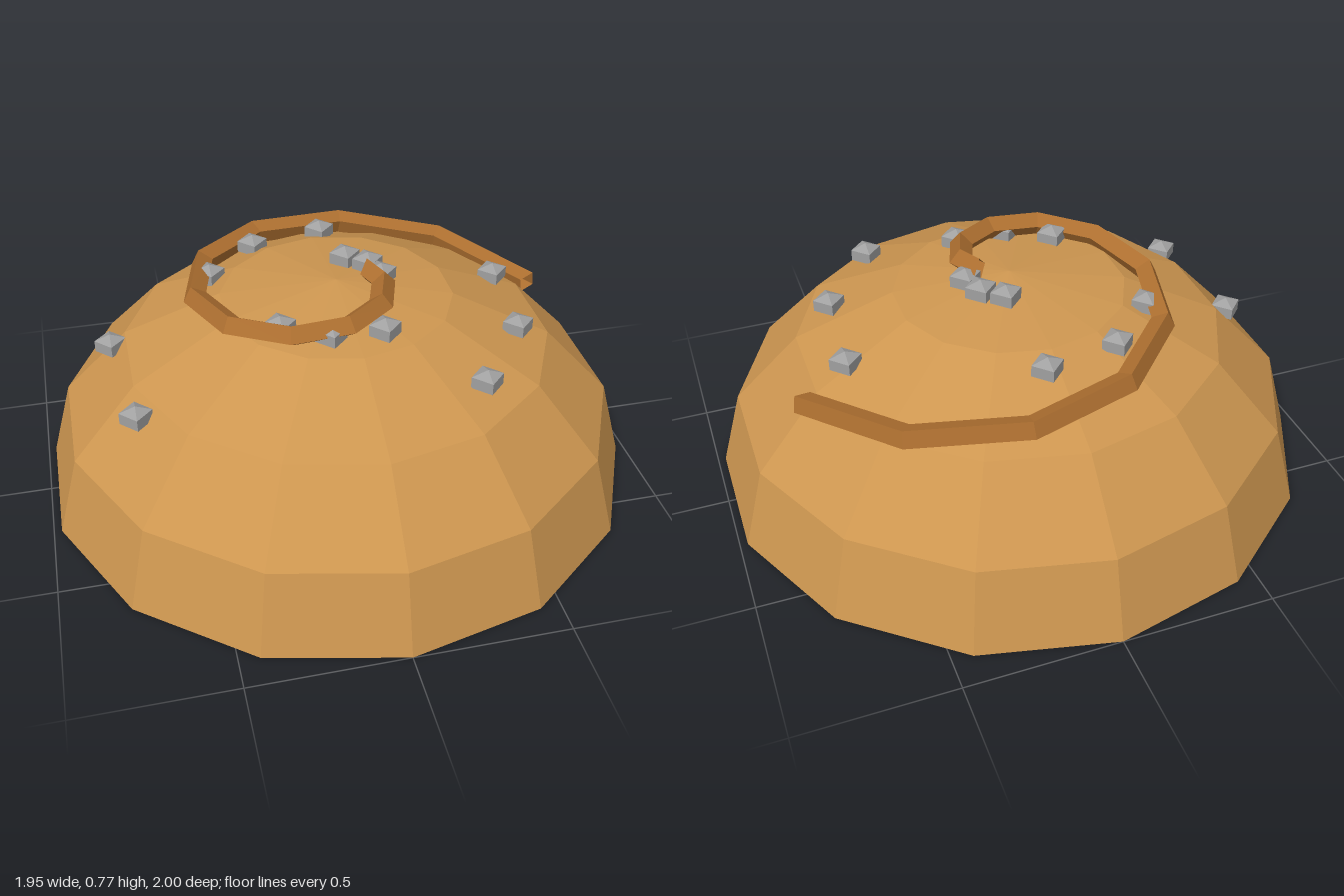
import * as THREE from 'three';

const HEIGHT = 0.7;
const domeY = (r) => HEIGHT * Math.sqrt(1 - r * r);

const paint = (color, side = THREE.FrontSide) =>
  new THREE.MeshStandardMaterial({ color, side, flatShading: true });

// Spiral that winds outward and down over the dome, in even steps of angle
class SpiralCurve extends THREE.Curve {
  getPoint(t, target = new THREE.Vector3()) {
    const angle = t * 6.05;
    const r = 0.1 + 0.66 * t;
    return target.set(Math.cos(angle) * r, domeY(r) + 0.03, Math.sin(angle) * r);
  }
  getPointAt(t, target) { return this.getPoint(t, target); }
  getTangentAt(t, target) { return this.getTangent(t, target); }
}

export function createModel() {
  const group = new THREE.Group();
  const add = (name, geometry, material) => {
    const mesh = new THREE.Mesh(geometry, material);
    mesh.name = name;
    group.add(mesh);
    return mesh;
  };

  // Fourteen-sided flattened dome with a closed base
  const profile = [new THREE.Vector2(0, 0)];
  for (let i = 0; i <= 4; i++) {
    const a = (i / 4) * Math.PI / 2;
    profile.push(new THREE.Vector2(i === 4 ? 0 : Math.cos(a), Math.sin(a) * HEIGHT));
  }
  add('dome', new THREE.LatheGeometry(profile, 14), paint(0xcd9650));

  // Square-section ridge lying on its edge, open at both ends
  add('spiralRidge', new THREE.TubeGeometry(new SpiralCurve(), 11, 0.04, 4, false),
    paint(0xad6f30, THREE.DoubleSide));

  // Pebbles half sunk into the surface, as [x, z]
  const pebbles = new THREE.Group();
  pebbles.name = 'pebbles';
  group.add(pebbles);
  const pebbleGeometry = new THREE.SphereGeometry(0.06, 4, 3).scale(1, 0.65, 1);
  const pebbleMaterial = paint(0xa0a0a0);
  const spots = [
    [0.04, -0.45], [-0.21, -0.4], [-0.385, -0.23], [-0.74, -0.13], [0.585, -0.13],
    [0.06, -0.135], [0.125, -0.08], [0.15, 0], [0.56, 0.205], [-0.225, 0.2],
    [-0.08, 0.28], [0.09, 0.285], [-0.695, 0.285], [0.365, 0.475],
  ];
  for (const [x, z] of spots) {
    const pebble = new THREE.Mesh(pebbleGeometry, pebbleMaterial);
    pebble.name = 'pebble';
    pebble.position.set(x, domeY(Math.hypot(x, z)) + 0.01, z);
    pebbles.add(pebble);
  }

  return group;
}
